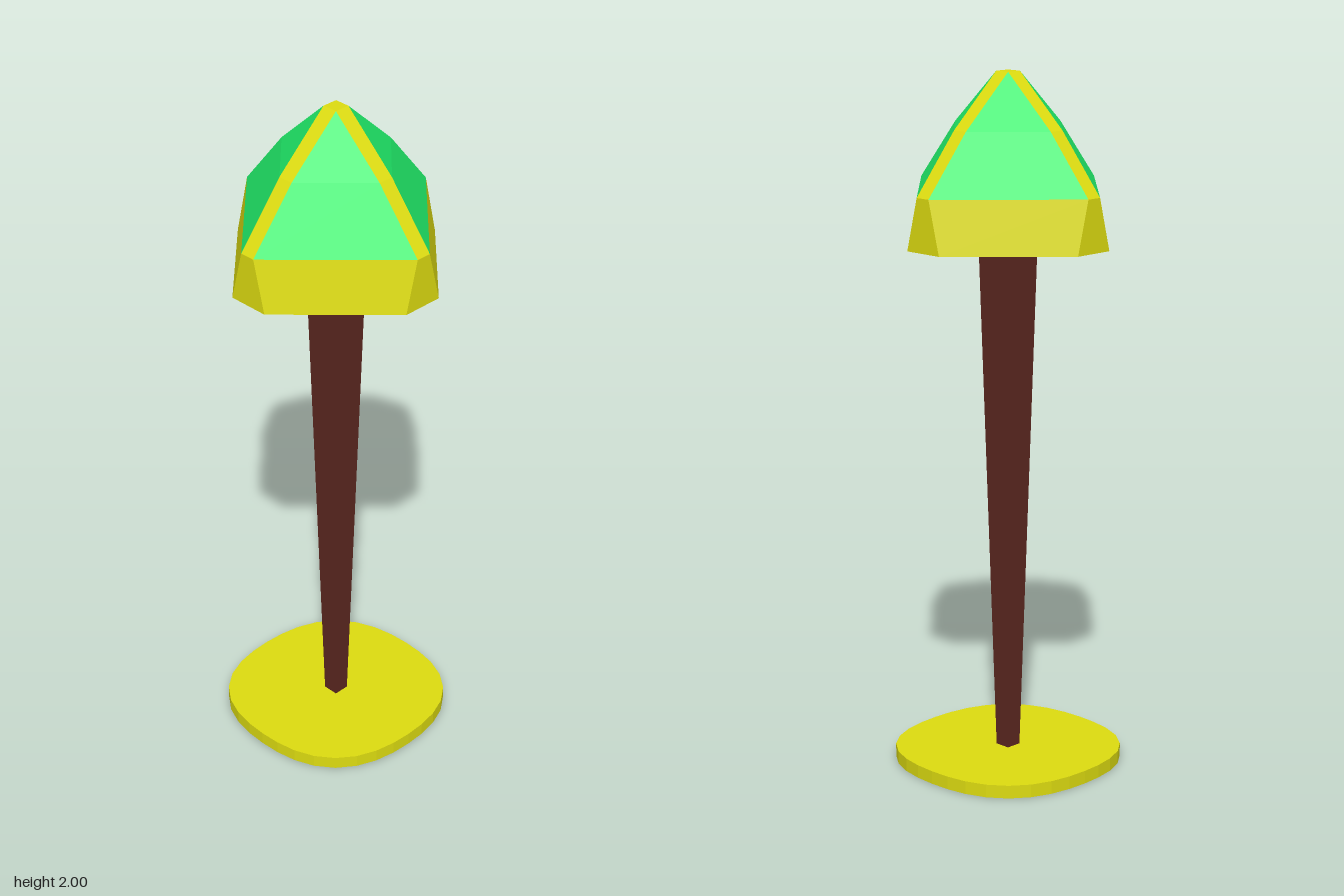
import * as THREE from 'three';

const YELLOW = 0xdcdb10, GREEN = 0x20ea68, BROWN = 0x5c2820;
const OFF = -0.004; // small shared offset of the pole and roof axis

const material = (color) => new THREE.MeshStandardMaterial({ color, flatShading: true });

function addMesh(group, name, geometry, color) {
  const mesh = new THREE.Mesh(geometry, material(color));
  mesh.name = name;
  group.add(mesh);
  return mesh;
}

// Flat-shaded geometry from a list of convex polygons (counter-clockwise from outside)
function fromPolygons(polygons) {
  const pos = [];
  for (const p of polygons) {
    for (let i = 1; i < p.length - 1; i++) {
      const tri = new THREE.Triangle(p[0], p[i], p[i + 1]);
      if (tri.getArea() < 1e-7) continue;
      for (const v of [tri.a, tri.b, tri.c]) pos.push(v.x, v.y, v.z);
    }
  }
  const g = new THREE.BufferGeometry();
  g.setAttribute('position', new THREE.Float32BufferAttribute(pos, 3));
  g.computeVertexNormals();
  return g;
}

// Eight-sided ring: four narrow sides of half-width w at distance r, joined by diagonals
function ring(y, r, w, off) {
  const pts = [];
  for (let q = 0; q < 4; q++) {
    for (const s of [1, -1]) {
      let x = r, z = s * w;
      for (let k = 0; k < q; k++) [x, z] = [z, -x];
      pts.push(new THREE.Vector3(x + off, y, z + off));
    }
  }
  return pts;
}

// Side faces between two rings; parity 0 = narrow sides, 1 = diagonal sides
function sides(lower, upper, parity) {
  const out = [];
  for (let i = parity; i < 8; i += 2) {
    const j = (i + 1) % 8;
    out.push([lower[i], lower[j], upper[j], upper[i]]);
  }
  return out;
}

export function createModel() {
  const model = new THREE.Group();
  model.name = 'lamp';

  // Base: thin disc swelling slightly towards its four diagonals
  const baseGeo = new THREE.CylinderGeometry(1, 1, 0.038, 32);
  const p = baseGeo.attributes.position;
  for (let i = 0; i < p.count; i++) {
    const r = 0.318 - 0.01 * Math.cos(4 * Math.atan2(p.getZ(i), p.getX(i)));
    p.setX(i, p.getX(i) * r);
    p.setZ(i, p.getZ(i) * r);
  }
  baseGeo.computeVertexNormals();
  addMesh(model, 'base', baseGeo, YELLOW).position.set(-0.003, 0.019, -0.003);

  // Pole: square, widening upwards
  const poleGeo = new THREE.CylinderGeometry(0.0585 * Math.SQRT2, 0.0235 * Math.SQRT2, 1.5, 4);
  poleGeo.rotateY(Math.PI / 4);
  addMesh(model, 'pole', poleGeo, BROWN).position.set(OFF, 0.785, OFF);

  // Shade: straight rim below, two sloping roof stages above
  const shade = new THREE.Group();
  shade.name = 'shade';
  model.add(shade);
  const bottom = ring(1.53, 0.326, 0.062, 0);
  const eaves = ring(1.68, 0.326, 0.023, 0);
  const middle = ring(1.85, 0.185, 0.023, OFF);
  const top = ring(2, 0.023, 0.023, OFF);

  addMesh(shade, 'rim', fromPolygons([
    ...sides(bottom, eaves, 0), ...sides(bottom, eaves, 1), [...bottom].reverse(),
  ]), YELLOW);
  addMesh(shade, 'ribs', fromPolygons([
    ...sides(eaves, middle, 0), ...sides(middle, top, 0), top,
  ]), YELLOW);
  addMesh(shade, 'panels', fromPolygons([
    ...sides(eaves, middle, 1), ...sides(middle, top, 1),
  ]), GREEN);

  return model;
}
